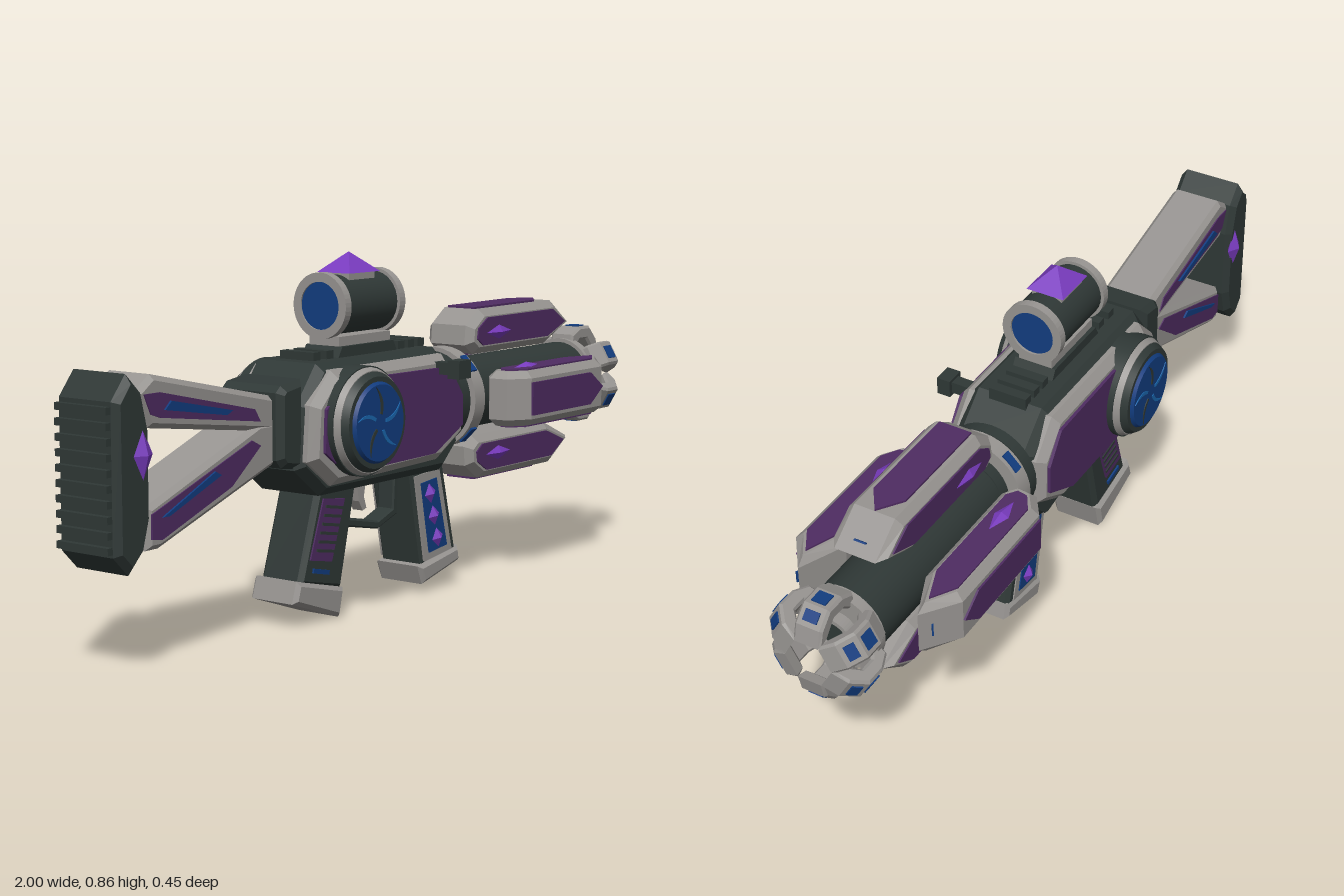
import * as THREE from 'three';

const mat = (name, color) => Object.assign(new THREE.MeshStandardMaterial({ color }), { name });
const grey = mat('light grey metal', 0x979491);
const dark = mat('dark gunmetal', 0x2f3836);
const purple = mat('purple panel', 0x4f2c62);
const gemMat = mat('violet crystal', 0x7a3cc0);
const blue = mat('deep blue', 0x123d80);
const sky = mat('bright blue', 0x1a68b0);
const AXIS = 0.475; // barrel height

function add(parent, name, geo, material) {
  const m = new THREE.Mesh(geo, material);
  m.name = name;
  parent.add(m);
  return m;
}

// Side outline extruded symmetrically about z = 0
function prism(parent, name, material, pts, hw, bevel = 0, hole) {
  const s = new THREE.Shape(pts.map(p => new THREE.Vector2(...p)));
  if (hole) s.holes.push(new THREE.Path(hole.map(p => new THREE.Vector2(...p))));
  const g = new THREE.ExtrudeGeometry(s, {
    depth: 2 * (hw - bevel), bevelEnabled: bevel > 0, bevelSize: bevel,
    bevelThickness: bevel, bevelOffset: -bevel, bevelSegments: 1,
  });
  g.translate(0, 0, bevel - hw);
  return add(parent, name, g, material);
}

// Cylinder along x from x0 to x1
function tubeX(parent, name, material, x0, x1, r, y = AXIS) {
  const g = new THREE.CylinderGeometry(r, r, x1 - x0, 32);
  g.rotateZ(-Math.PI / 2).translate((x0 + x1) / 2, y, 0);
  return add(parent, name, g, material);
}

// Open ring with a rectangular section, turned about x
function ringX(parent, name, material, x0, x1, ri, ro, y = AXIS) {
  const s = new THREE.Shape().absarc(0, 0, ro, 0, Math.PI * 2);
  s.holes.push(new THREE.Path().absarc(0, 0, ri, 0, Math.PI * 2, true));
  const g = new THREE.ExtrudeGeometry(s, { depth: x1 - x0, bevelEnabled: false, curveSegments: 24 });
  g.rotateY(Math.PI / 2).translate(x0, y, 0);
  return add(parent, name, g, material);
}

function box(parent, name, material, w, h, d, x, y, z, rz = 0) {
  const m = add(parent, name, new THREE.BoxGeometry(w, h, d), material);
  m.position.set(x, y, z);
  m.rotation.z = rz;
  return m;
}

function gem(parent, name, x, y, z, sx, sy, sz, rz = 0) {
  const m = add(parent, name, new THREE.OctahedronGeometry(1).scale(sx, sy, sz), gemMat);
  m.position.set(x, y, z);
  m.rotation.z = rz;
}

function buildStock(g) {
  prism(g, 'buttPlate', dark, [[-0.985, 0.27], [-0.94, 0.225], [-0.895, 0.27], [-0.875, 0.34], [-0.875, 0.53], [-0.895, 0.61], [-0.94, 0.655], [-0.985, 0.6]], 0.09, 0.015);
  for (let i = 0; i < 10; i++) box(g, 'buttTooth', dark, 0.02, 0.016, 0.15, -0.99, 0.285 + i * 0.033, 0);
  prism(g, 'upperStrut', grey, [[-0.9, 0.61], [-0.86, 0.53], [-0.44, 0.475], [-0.44, 0.555], [-0.85, 0.645]], 0.07, 0.012);
  prism(g, 'lowerStrut', grey, [[-0.87, 0.265], [-0.83, 0.265], [-0.44, 0.4], [-0.44, 0.5], [-0.5, 0.5], [-0.87, 0.36]], 0.07, 0.012);
  prism(g, 'upperStrutPanel', purple, [[-0.86, 0.56], [-0.83, 0.55], [-0.5, 0.505], [-0.52, 0.535], [-0.83, 0.605], [-0.88, 0.605]], 0.073);
  prism(g, 'lowerStrutPanel', purple, [[-0.86, 0.29], [-0.83, 0.285], [-0.6, 0.37], [-0.5, 0.45], [-0.53, 0.465], [-0.86, 0.345]], 0.073);
  prism(g, 'upperStrutLight', blue, [[-0.82, 0.566], [-0.62, 0.533], [-0.6, 0.542], [-0.8, 0.584]], 0.078);
  prism(g, 'lowerStrutLight', blue, [[-0.83, 0.335], [-0.81, 0.335], [-0.64, 0.402], [-0.66, 0.412]], 0.078);
  for (const s of [1, -1]) gem(g, 'buttCrystal', -0.905, 0.48, s * 0.088, 0.032, 0.06, 0.018);
  prism(g, 'rearCollar', dark, [[-0.457, 0.41], [-0.44, 0.39], [-0.37, 0.38], [-0.37, 0.59], [-0.44, 0.58], [-0.457, 0.565]], 0.095, 0.015);
}

function buildDisc(g, s) {
  // Round reactor window on one side, built facing +z
  const d = new THREE.Group();
  d.name = 'sideReactor';
  d.position.set(-0.215, 0.48, 0);
  if (s < 0) d.rotation.y = Math.PI;
  const cyl = (name, m, r0, r1, z0, z1) =>
    add(d, name, new THREE.CylinderGeometry(r1, r0, z1 - z0, 40).rotateX(Math.PI / 2).translate(0, 0, (z0 + z1) / 2), m);
  cyl('reactorHousing', dark, 0.13, 0.13, 0.1, 0.155);
  cyl('reactorRim', grey, 0.127, 0.12, 0.155, 0.17);
  cyl('reactorBezel', dark, 0.118, 0.108, 0.17, 0.186);
  cyl('reactorGlass', blue, 0.096, 0.09, 0.186, 0.194);
  for (let i = 0; i < 5; i++) {
    const b = new THREE.Shape();
    b.moveTo(0.02, 0);
    b.quadraticCurveTo(0.06, 0.0, 0.075, 0.042);
    b.quadraticCurveTo(0.055, 0.012, 0.02, 0.008);
    const m = add(d, 'swirlBlade', new THREE.ExtrudeGeometry(b, { depth: 0.002, bevelEnabled: false }), i % 2 ? dark : sky);
    m.position.z = 0.194;
    m.rotation.z = i * Math.PI * 0.4;
  }
  g.add(d);
}

function buildBody(g) {
  prism(g, 'bodyCore', dark, [[-0.4, 0.38], [-0.31, 0.31], [0.17, 0.31], [0.235, 0.37], [0.23, 0.54], [0.14, 0.62], [-0.32, 0.62], [-0.39, 0.53]], 0.105, 0.02);
  prism(g, 'bodyFrame', grey, [[-0.385, 0.4], [-0.3, 0.335], [0.12, 0.345], [0.22, 0.4], [0.215, 0.52], [0.14, 0.605], [-0.3, 0.605], [-0.375, 0.53]], 0.132, 0.02);
  prism(g, 'bodyPanel', purple, [[-0.35, 0.42], [-0.27, 0.362], [0.08, 0.367], [0.195, 0.425], [0.195, 0.5], [0.14, 0.575], [-0.27, 0.58], [-0.345, 0.52]], 0.14);
  for (const s of [1, -1]) buildDisc(g, s);
  // Selector knob on the front side only
  box(g, 'selectorStem', dark, 0.03, 0.03, 0.07, 0.107, 0.575, 0.155);
  box(g, 'selectorKnob', dark, 0.05, 0.045, 0.035, 0.107, 0.575, 0.19);
  // Top vents and scope rail
  for (const x of [-0.27, -0.22, -0.17, 0.06, 0.1, 0.14]) box(g, 'topVent', dark, 0.026, 0.035, 0.1, x, 0.622, 0);
  prism(g, 'scopeMount', dark, [[-0.2, 0.61], [0.04, 0.61], [0.02, 0.645], [-0.18, 0.645]], 0.055);
  box(g, 'scopeBase', grey, 0.2, 0.025, 0.09, -0.08, 0.655, 0);
  // Trigger and its guard
  prism(g, 'triggerGuard', dark, [[-0.175, 0.32], [-0.14, 0.205], [0, 0.178], [0.08, 0.205], [0.085, 0.32]], 0.025, 0.004,
    [[-0.145, 0.3], [-0.12, 0.222], [0, 0.198], [0.06, 0.22], [0.065, 0.3]]);
  prism(g, 'trigger', grey, [[-0.075, 0.31], [-0.065, 0.255], [-0.05, 0.23], [-0.035, 0.235], [-0.045, 0.265], [-0.035, 0.31]], 0.015);
}

function buildScope(g) {
  const y = 0.74;
  tubeX(g, 'scopeTube', dark, -0.19, 0.025, 0.071, y);
  for (const x of [-0.197, 0.015]) ringX(g, 'scopeRing', grey, x, x + 0.022, 0.057, 0.079, y);
  tubeX(g, 'scopeLens', blue, -0.193, 0.031, 0.057, y);
  box(g, 'crystalSeat', grey, 0.1, 0.02, 0.08, -0.085, 0.807, 0);
  const p = add(g, 'scopeCrystal', new THREE.ConeGeometry(0.08, 0.048, 4, 1).rotateY(Math.PI / 4).scale(1.05, 1, 0.87), gemMat);
  p.geometry = p.geometry.toNonIndexed();
  p.geometry.computeVertexNormals();
  p.position.set(-0.085, 0.839, 0);
}

function buildGrips(g) {
  prism(g, 'rearGrip', dark, [[-0.35, 0.1], [-0.19, 0.065], [-0.13, 0.32], [-0.28, 0.32]], 0.062, 0.012);
  prism(g, 'rearGripPanel', purple, [[-0.315, 0.155], [-0.235, 0.14], [-0.185, 0.285], [-0.265, 0.295]], 0.066);
  for (let i = 0; i < 6; i++) box(g, 'gripRib', dark, 0.065, 0.007, 0.138, -0.262 + i * 0.007, 0.17 + i * 0.02, 0, -0.18);
  box(g, 'rearGripLight', blue, 0.06, 0.011, 0.134, -0.275, 0.122, 0, -0.22);
  prism(g, 'rearGripCap', grey, [[-0.378, 0.06], [-0.205, 0], [-0.188, 0.07], [-0.362, 0.112]], 0.07, 0.01);

  prism(g, 'foreGrip', dark, [[0.13, 0.07], [0.275, 0.09], [0.215, 0.335], [0.08, 0.32]], 0.066, 0.01);
  prism(g, 'foreGripFrame', grey, [[0.135, 0.08], [0.25, 0.095], [0.195, 0.31], [0.092, 0.3]], 0.069);
  prism(g, 'foreGripInlay', blue, [[0.15, 0.1], [0.226, 0.11], [0.18, 0.287], [0.115, 0.28]], 0.072);
  for (const s of [1, -1]) for (let i = 0; i < 3; i++)
    gem(g, 'gripCrystal', 0.184 - i * 0.016, 0.135 + i * 0.058, s * 0.07, 0.026, 0.03, 0.015, 0.2);
  prism(g, 'foreGripCap', grey, [[0.13, 0.022], [0.288, 0.06], [0.28, 0.1], [0.112, 0.07]], 0.072, 0.01);
}

function buildPetal(g, angle) {
  // Armour petal, outward along +y before turning
  const p = new THREE.Group();
  p.name = 'barrelPetal';
  p.position.y = AXIS;
  p.rotation.x = angle;
  prism(p, 'petalShell', grey, [[0.325, 0.13], [0.36, 0.105], [0.69, 0.105], [0.805, 0.155], [0.72, 0.218], [0.385, 0.218], [0.33, 0.18]], 0.07, 0.018);
  prism(p, 'petalSidePanel', purple, [[0.355, 0.145], [0.38, 0.127], [0.68, 0.127], [0.765, 0.16], [0.705, 0.197], [0.4, 0.197], [0.36, 0.172]], 0.074);
  const top = new THREE.Shape([[0.385, -0.042], [0.66, -0.042], [0.72, 0], [0.66, 0.042], [0.385, 0.042]].map(q => new THREE.Vector2(...q)));
  add(p, 'petalOuterPanel', new THREE.ExtrudeGeometry(top, { depth: 0.006, bevelEnabled: false }).rotateX(-Math.PI / 2).translate(0, 0.217, 0), purple);
  for (const s of [1, -1]) gem(p, 'petalCrystal', 0.45, 0.157, s * 0.073, 0.06, 0.02, 0.012);
  box(p, 'petalLight', blue, 0.004, 0.012, 0.03, 0.778, 0.175, 0, -0.95);
  g.add(p);
}

function buildBarrel(g) {
  tubeX(g, 'neck', dark, 0.2, 0.34, 0.095);
  tubeX(g, 'neckRing', dark, 0.225, 0.257, 0.12);
  tubeX(g, 'neckCollar', grey, 0.267, 0.31, 0.128);
  for (let k = 0; k < 4; k++) {
    const c = new THREE.Group();
    c.name = 'collarLug';
    c.position.y = AXIS;
    c.rotation.x = (k + 0.5) * Math.PI / 2;
    box(c, 'collarLight', blue, 0.022, 0.008, 0.05, 0.289, 0.127, 0);
    g.add(c);
  }
  tubeX(g, 'barrelCore', dark, 0.32, 0.86, 0.092);
  for (let k = 0; k < 4; k++) buildPetal(g, k * Math.PI / 2);
  // Muzzle with six claws
  tubeX(g, 'muzzleCollar', grey, 0.852, 0.88, 0.102);
  tubeX(g, 'muzzleBore', dark, 0.87, 0.89, 0.044);
  ringX(g, 'muzzleRing', grey, 0.87, 0.91, 0.043, 0.053);
  for (let k = 0; k < 6; k++) {
    const c = new THREE.Group();
    c.name = 'muzzleClaw';
    c.position.y = AXIS;
    c.rotation.x = k * Math.PI / 3;
    prism(c, 'clawShell', grey, [[0.86, 0.075], [0.88, 0.075], [0.905, 0.095], [0.94, 0.095], [0.97, 0.06], [1, 0.052], [0.99, 0.095], [0.955, 0.13], [0.905, 0.13], [0.865, 0.112]], 0.035, 0.006);
    box(c, 'clawTopLight', blue, 0.034, 0.006, 0.036, 0.93, 0.13, 0);
    box(c, 'clawFrontLight', blue, 0.026, 0.006, 0.036, 0.973, 0.1125, 0, -Math.PI / 4);
    g.add(c);
  }
}

export function createModel() {
  const root = new THREE.Group();
  root.name = 'sciFiBlaster';
  const parts = { stock: buildStock, body: buildBody, scope: buildScope, grips: buildGrips, barrel: buildBarrel };
  for (const [name, build] of Object.entries(parts)) {
    const g = new THREE.Group();
    g.name = name;
    build(g);
    root.add(g);
  }
  return root;
}
